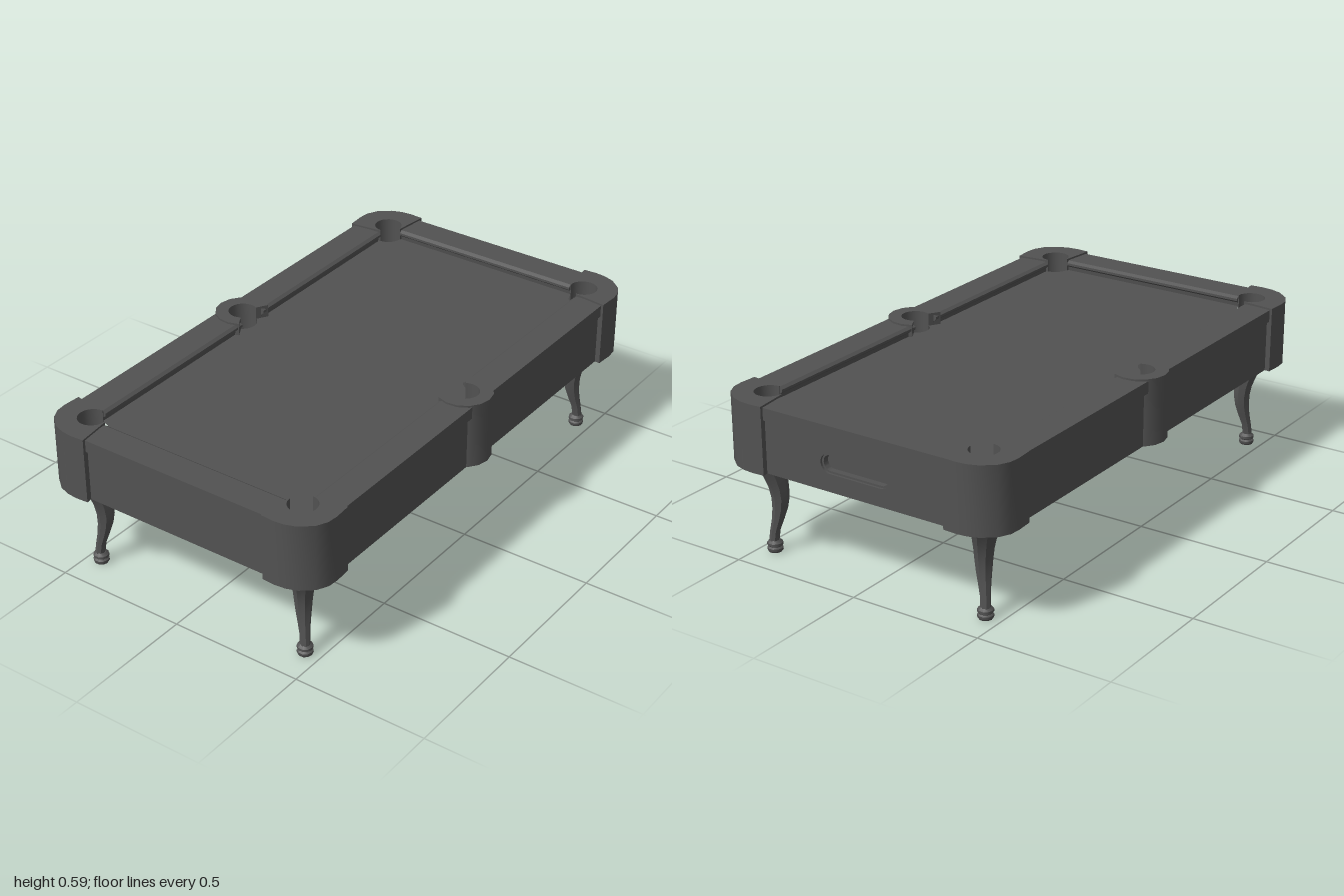
import * as THREE from 'three';
import { toCreasedNormals } from 'three/addons/utils/BufferGeometryUtils.js';

const POCKET_R = 0.052, BASE = 0.345, BED = 0.545, TOP = 0.592;
const CORNER = [0.87, 0.44], MIDDLE_Z = 0.482;

export function createModel() {
  const table = new THREE.Group();
  table.name = 'poolTable';
  const charcoal = new THREE.MeshStandardMaterial({ color: 0x525252 });
  charcoal.name = 'charcoal';

  function add(name, geometry, crease = 0.6) {
    const mesh = new THREE.Mesh(toCreasedNormals(geometry, crease), charcoal);
    mesh.name = name;
    table.add(mesh);
    return mesh;
  }

  // Outline given as [x, z] points, raised from y0 to y1
  const planShape = (pts) => new THREE.Shape(pts.map(([x, z]) => new THREE.Vector2(x, -z)));
  function raise(shape, y0, y1) {
    return new THREE.ExtrudeGeometry(shape, { depth: y1 - y0, bevelEnabled: false, curveSegments: 24 })
      .rotateX(-Math.PI / 2).translate(0, y0, 0);
  }
  // Points on an arc, angles in degrees from +x towards +z
  function arc(cx, cz, r, a0, a1, n) {
    return Array.from({ length: n + 1 }, (_, i) => {
      const a = THREE.MathUtils.degToRad(a0 + (a1 - a0) * i / n);
      return [cx + r * Math.cos(a), cz + r * Math.sin(a)];
    });
  }
  const flip = (pts, sx, sz) => pts.map(([x, z]) => [x * sx, z * sz]);

  // Cabinet, with the bed on top and six pocket holes
  const outline = [
    [0.945, -0.495], [0.945, 0.495], [0.895, 0.545], [-0.895, 0.545],
    [-0.975, 0.465], [-0.975, -0.465], [-0.895, -0.545], [0.895, -0.545],
  ];
  add('cabinetFloor', raise(planShape(outline), BASE, 0.42), 0.3);
  const bed = planShape(outline);
  for (const sz of [-1, 1]) {
    for (const [x, z] of [[-CORNER[0], CORNER[1]], [0, MIDDLE_Z], CORNER]) {
      bed.holes.push(new THREE.Path().absarc(x, -z * sz, POCKET_R, 0, Math.PI * 2, true));
    }
  }
  add('playingBed', raise(bed, 0.42, BED), 0.3);

  // End panel with the ball return slot
  function slotPath(path, halfLength, r) {
    const c = halfLength - r;
    path.absarc(c, 0.445, r, -Math.PI / 2, Math.PI / 2, false);
    path.absarc(-c, 0.445, r, Math.PI / 2, Math.PI * 1.5, false);
    path.closePath();
    return path;
  }
  function endPlate(name, shape, depth) {
    add(name, new THREE.ExtrudeGeometry(shape, { depth, bevelEnabled: false })
      .rotateY(Math.PI / 2).translate(0.945, 0, 0));
  }
  const panel = new THREE.Shape([[-0.465, BASE], [0.465, BASE], [0.465, BED], [-0.465, BED]]
    .map(([x, y]) => new THREE.Vector2(x, y)));
  panel.holes.push(slotPath(new THREE.Path(), 0.14, 0.035));
  endPlate('endPanel', panel, 0.03);
  const rim = slotPath(new THREE.Shape(), 0.14, 0.035);
  rim.holes.push(slotPath(new THREE.Path(), 0.133, 0.028));
  endPlate('ballReturnRim', rim, 0.022);

  // Rails: cushion nose inside, slight overhang outside
  const railProfile = [
    [0.012, 0.543], [0.01, 0.56], [0, 0.568], [0, 0.577], [0.012, 0.585],
    [0.12, 0.585], [0.12, 0.54], [0.1, 0.54],
  ].map(([u, y]) => new THREE.Vector2(u, y));
  function rail(name, length, inner, angle, along) {
    const g = new THREE.ExtrudeGeometry(new THREE.Shape(railProfile), { depth: length, bevelEnabled: false })
      .translate(inner, 0, along - length / 2).rotateY(angle);
    add(name, g, 0.3);
  }
  for (const s of [-1, 1]) {
    rail('endRail', 0.764, 0.865, s > 0 ? 0 : Math.PI, 0);
    for (const a of [-1, 1]) rail('sideRail', 0.748, 0.435, s * Math.PI / 2, a * 0.436);
  }

  // Corner pocket blocks, open towards the bed
  const cornerOutline = [
    [0.8, 0.565], [0.865, 0.569], [0.905, 0.565], [0.945, 0.545], [0.982, 0.5],
    [0.996, 0.46], [1, 0.42], [0.997, 0.37], [0.87, 0.385],
    ...arc(...CORNER, POCKET_R, -90, 180, 18), [0.815, 0.44],
  ];
  for (const sx of [-1, 1]) for (const sz of [-1, 1]) {
    add('cornerPocket', raise(planShape(flip(cornerOutline, sx, sz)), BASE, TOP));
  }

  // Middle pocket collars
  const collar = [
    ...arc(0, MIDDLE_Z, 0.1, -30, 210, 10),
    ...arc(0, MIDDLE_Z, POCKET_R, 210, -30, 16),
  ];
  for (const sz of [-1, 1]) add('middlePocket', raise(planShape(flip(collar, 1, sz)), BASE, TOP));

  // Curved legs: [height, diagonal shift, half width]
  const sections = [
    [0.04, 0.002, 0.018], [0.08, -0.002, 0.018], [0.12, -0.01, 0.022], [0.16, -0.016, 0.027],
    [0.2, -0.018, 0.031], [0.24, -0.015, 0.035], [0.28, -0.008, 0.041], [0.32, 0.003, 0.048], [0.355, 0.015, 0.054],
  ];
  const footProfile = [
    [0, 0], [0.024, 0], [0.028, 0.006], [0.028, 0.015], [0.022, 0.02],
    [0.028, 0.025], [0.028, 0.034], [0.018, 0.043], [0, 0.043],
  ].map(([r, y]) => new THREE.Vector2(r, y));
  for (const sx of [-1, 1]) for (const sz of [-1, 1]) {
    const leg = new THREE.CylinderGeometry(1, 1, 1, 8, sections.length - 1);
    const p = leg.attributes.position;
    for (let i = 0; i < p.count; i++) {
      const [y, shift, w] = sections[Math.round((p.getY(i) + 0.5) * (sections.length - 1))];
      p.setXYZ(i, p.getX(i) * w + shift * sx, y, p.getZ(i) * w + shift * sz);
    }
    add('leg', leg, 0.4).position.set(0.873 * sx, 0, 0.443 * sz);
    add('foot', new THREE.LatheGeometry(footProfile, 10), 0.65).position.set(0.873 * sx, 0, 0.443 * sz);
  }
  return table;
}
